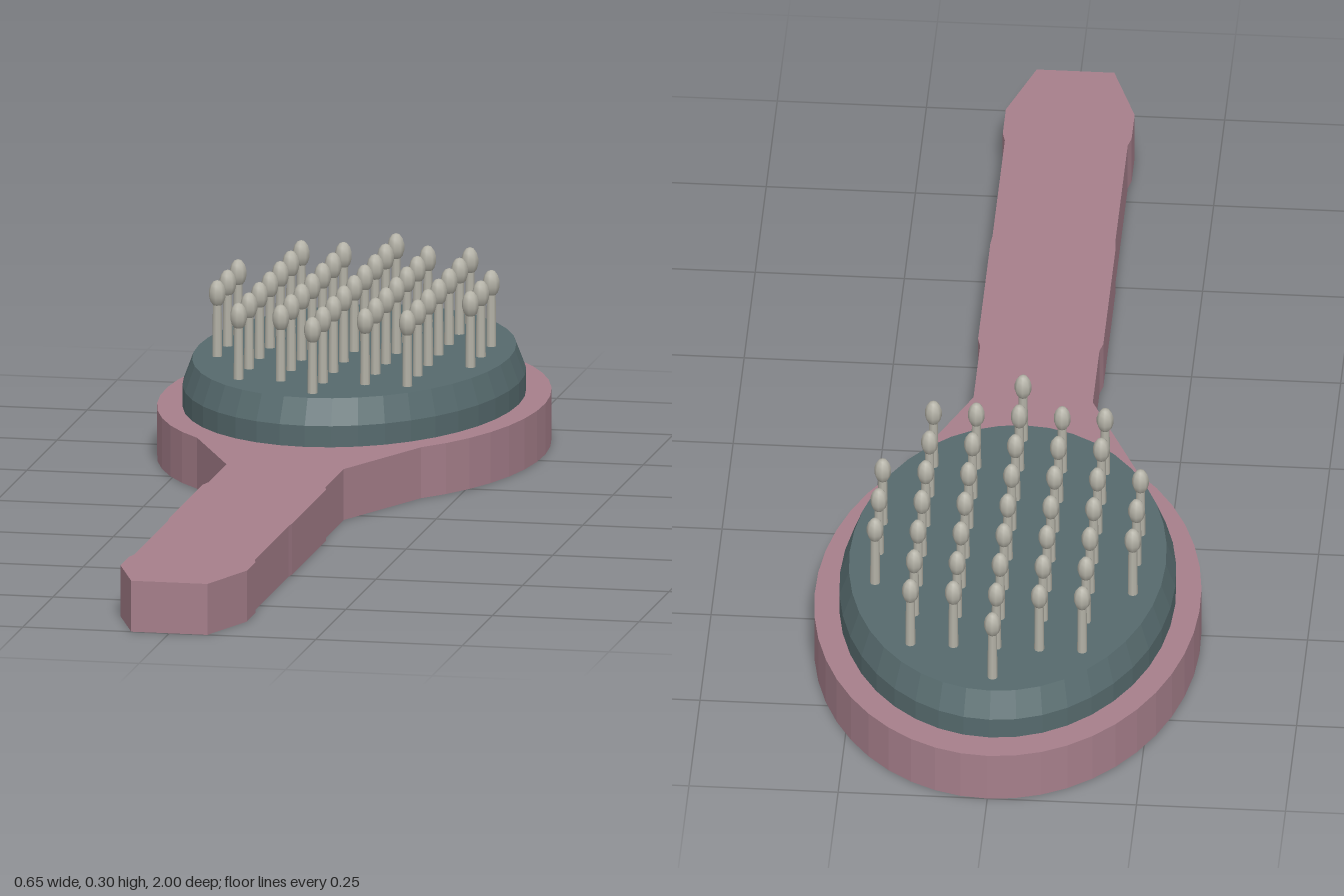
import * as THREE from 'three';

const HEAD_Z = -0.535;

export function createModel() {
  const model = new THREE.Group();
  model.name = 'hairbrush';

  const material = (name, color) => {
    const m = new THREE.MeshStandardMaterial({ color });
    m.name = name;
    return m;
  };
  const pink = material('dusty pink body', 0xa67f8b);
  const slate = material('slate cushion', 0x566a6d);
  const grey = material('warm grey bristles', 0xb4b2a7);
  slate.flatShading = true;

  const add = (parent, name, geometry, mat) => {
    const mesh = new THREE.Mesh(geometry, mat);
    mesh.name = name;
    parent.add(mesh);
    return mesh;
  };

  // Body: oval head, flared neck and handle as one flat outline (shape y is -z)
  const side = [[0.1, 0.04], [0.1, 0.19], [0.105, 0.21], [0.105, 0.49], [0.103, 0.51], [0.103, 0.79], [0.108, 0.81], [0.108, 0.88], [0.065, 1]];
  const outline = new THREE.Shape();
  const start = -0.938;
  outline.absellipse(0, -HEAD_Z, 0.323, 0.465, start, Math.PI - start, false);
  side.forEach(([x, z]) => outline.lineTo(-x, -z));
  [...side].reverse().forEach(([x, z]) => outline.lineTo(x, -z));
  outline.closePath();
  const body = new THREE.ExtrudeGeometry(outline, { depth: 0.087, bevelEnabled: false, curveSegments: 18 });
  body.rotateX(-Math.PI / 2);
  add(model, 'headAndHandle', body, pink);

  // Cushion: oval pad with a straight wall and a sloped rim
  const profile = [[0, 0.085], [0.281, 0.085], [0.281, 0.123], [0.265, 0.166], [0, 0.166]];
  const pad = new THREE.LatheGeometry(profile.map(([x, y]) => new THREE.Vector2(x, y)), 40);
  pad.scale(1, 1, 0.411 / 0.281);
  add(model, 'cushion', pad, slate).position.z = HEAD_Z;

  // Bristles: thin stems with rounded tips in an oval grid
  const stem = new THREE.CylinderGeometry(0.0075, 0.0085, 0.092, 8);
  stem.translate(0, 0.21, 0);
  const tip = new THREE.SphereGeometry(0.0145, 8, 7);
  tip.scale(1, 1.6, 1);
  tip.translate(0, 0.273, 0);
  const reach = [3, 3, 2, 2, 0];
  for (let row = -4; row <= 4; row++) {
    const n = reach[Math.abs(row)];
    for (let col = -n; col <= n; col++) {
      const bristle = new THREE.Group();
      bristle.name = 'bristle';
      bristle.position.set(col * 0.072, 0, HEAD_Z + row * 0.0867);
      add(bristle, 'bristleStem', stem, grey);
      add(bristle, 'bristleTip', tip, grey);
      model.add(bristle);
    }
  }
  return model;
}
